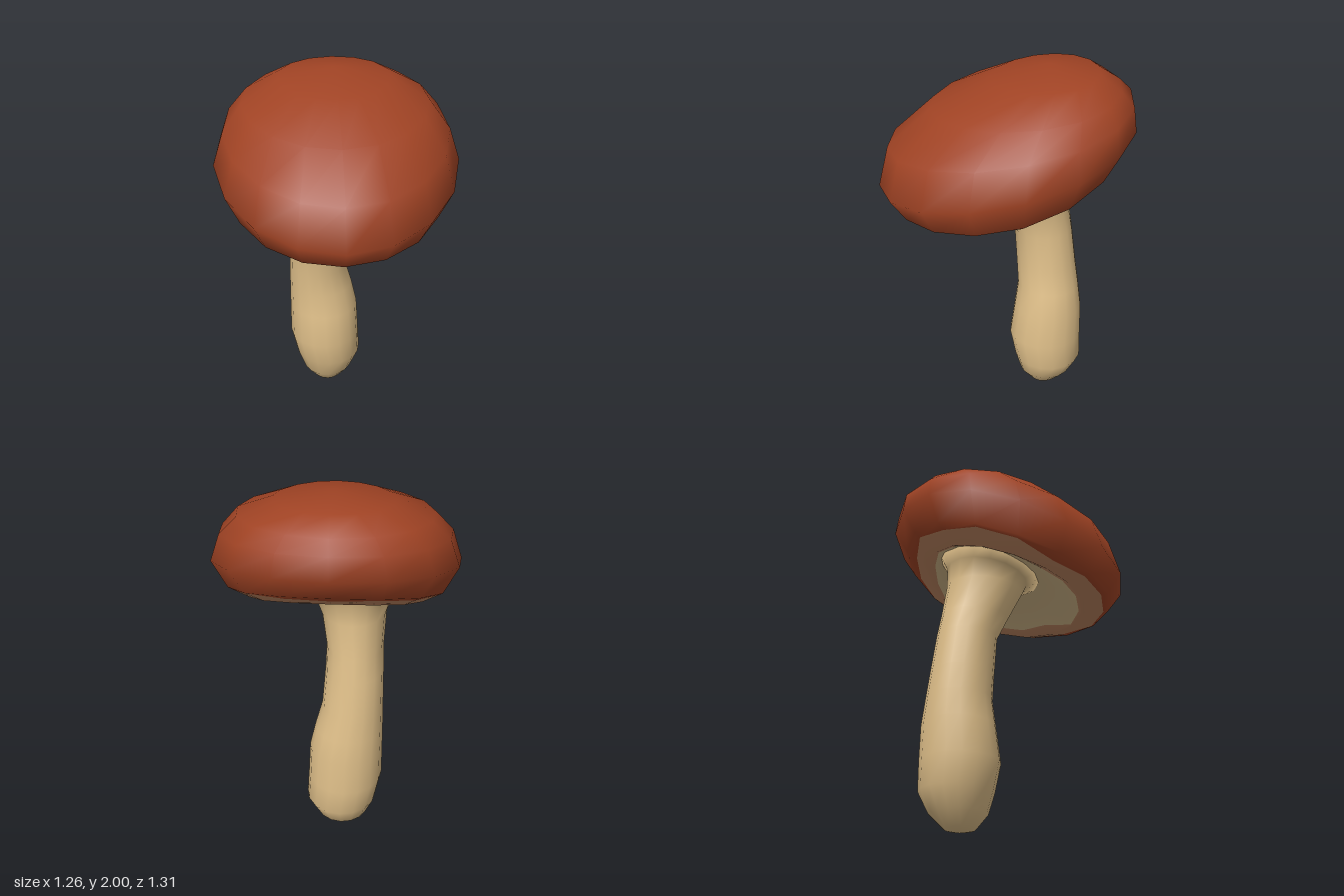
import * as THREE from 'three';

const SIDES = 16;

// Smooth skin over rings listed from bottom to top; a ring of one point is a pole.
// slots[i] is the material index of the band between ring i and ring i + 1.
function loft(rings, slots) {
  const positions = [], starts = [], index = [];
  const geometry = new THREE.BufferGeometry();
  for (const ring of rings) {
    starts.push(positions.length / 3);
    for (const p of ring) positions.push(...p);
  }
  const at = (i, j) => starts[i] + (j % rings[i].length);
  for (let i = 0; i < rings.length - 1; i++) {
    const first = index.length;
    for (let j = 0; j < SIDES; j++) {
      const a = at(i, j), b = at(i, j + 1), c = at(i + 1, j + 1), d = at(i + 1, j);
      if (a !== b) index.push(a, b, c);
      if (c !== d) index.push(a, c, d);
    }
    if (slots) geometry.addGroup(first, index.length - first, slots[i]);
  }
  geometry.setAttribute('position', new THREE.Float32BufferAttribute(positions, 3));
  geometry.setIndex(index);
  geometry.computeVertexNormals();
  return geometry;
}

// Elliptical ring: tilt lifts the front, sag lowers the sides, egg widens the back.
// A zero radius gives a pole.
function ellipse(y, cx, cz, rx, rz, tilt = 0, sag = 0, egg = 0) {
  if (rx === 0) return [[cx, y, cz]];
  return Array.from({ length: SIDES }, (_, j) => {
    const a = (j / SIDES) * Math.PI * 2, s = Math.sin(a), c = Math.cos(a);
    return [cx + rx * s * (1 - egg * c), y + tilt * c - sag * s * s, cz + rz * c];
  });
}

// Uneven ring lying between two rings, used as a colour edge.
function wavyEdge(lower, upper, middle, swing) {
  return lower.map((p, j) => {
    const wave = (Math.sin(j * 2.3) + Math.sin(j * 1.2 + 1)) / 2;
    return p.map((v, k) => THREE.MathUtils.lerp(v, upper[j][k], middle + swing * wave));
  });
}

const material = (name, color) => {
  const m = new THREE.MeshStandardMaterial({ color });
  m.name = name;
  return m;
};

export function createModel() {
  const model = new THREE.Group();
  model.name = 'mushroom';
  const capRed = material('capRed', 0xa04324);
  const rimBrown = material('rimBrown', 0xbd8560);
  const gillTan = material('gillTan', 0xd2b788);
  const stemCream = material('stemCream', 0xe0c08a);

  // Cap rings leaning forward, as [front z, front y, back z, back y, half width, sag]
  const capRings = [
    [0.27, 1.37, -0.37, 1.55, 0.33, 0.02],
    [0.43, 1.27, -0.45, 1.52, 0.46, 0.05],
    [0.575, 1.29, -0.58, 1.62, 0.56, 0.05],
    [0.655, 1.40, -0.655, 1.735, 0.632, 0],
    [0.60, 1.61, -0.64, 1.85, 0.578, 0],
    [0.38, 1.80, -0.575, 1.91, 0.48, 0],
    [0.08, 1.93, -0.47, 1.975, 0.29, 0],
  ].map(([zf, yf, zb, yb, rx, sag]) =>
    ellipse((yf + yb) / 2, 0, (zf + zb) / 2, rx, (zf - zb) / 2, (yf - yb) / 2, sag, 0.08));
  const [gills, lip, underRim, ...dome] = capRings;
  const rings = [
    [[0, 1.5, -0.08]], gills, wavyEdge(gills, lip, 0.75, 0.25), lip,
    wavyEdge(lip, underRim, 0.72, 0.24), underRim, ...dome, [[0, 2, -0.22]],
  ];
  const slots = rings.slice(1).map((_, i) => (i < 2 ? 0 : i < 4 ? 1 : 2));
  const cap = new THREE.Mesh(loft(rings, slots), [gillTan, rimBrown, capRed]);
  cap.name = 'cap';
  model.add(cap);

  // Stem: bent and swollen at the foot, flaring into the gills,
  // as [y, centre x, centre z, half width, half depth, tilt]
  const sections = [
    [0, -0.03, -0.24, 0, 0], [0.015, -0.045, -0.24, 0.08, 0.08],
    [0.09, -0.045, -0.25, 0.145, 0.15], [0.2, -0.04, -0.262, 0.193, 0.194],
    [0.35, -0.06, -0.248, 0.204, 0.209], [0.54, -0.065, -0.26, 0.198, 0.194],
    [0.68, -0.08, -0.262, 0.182, 0.175], [0.82, -0.098, -0.25, 0.162, 0.169],
    [1.03, -0.105, -0.23, 0.152, 0.162], [1.15, -0.105, -0.192, 0.148, 0.18],
    [1.33, -0.095, -0.138, 0.168, 0.208, -0.01], [1.42, -0.09, -0.125, 0.205, 0.222, -0.04],
    [1.49, -0.085, -0.11, 0.29, 0.29, -0.08], [1.55, -0.08, -0.11, 0, 0],
  ];
  const stem = new THREE.Mesh(loft(sections.map((s) => ellipse(...s))), stemCream);
  stem.name = 'stem';
  model.add(stem);

  return model;
}
